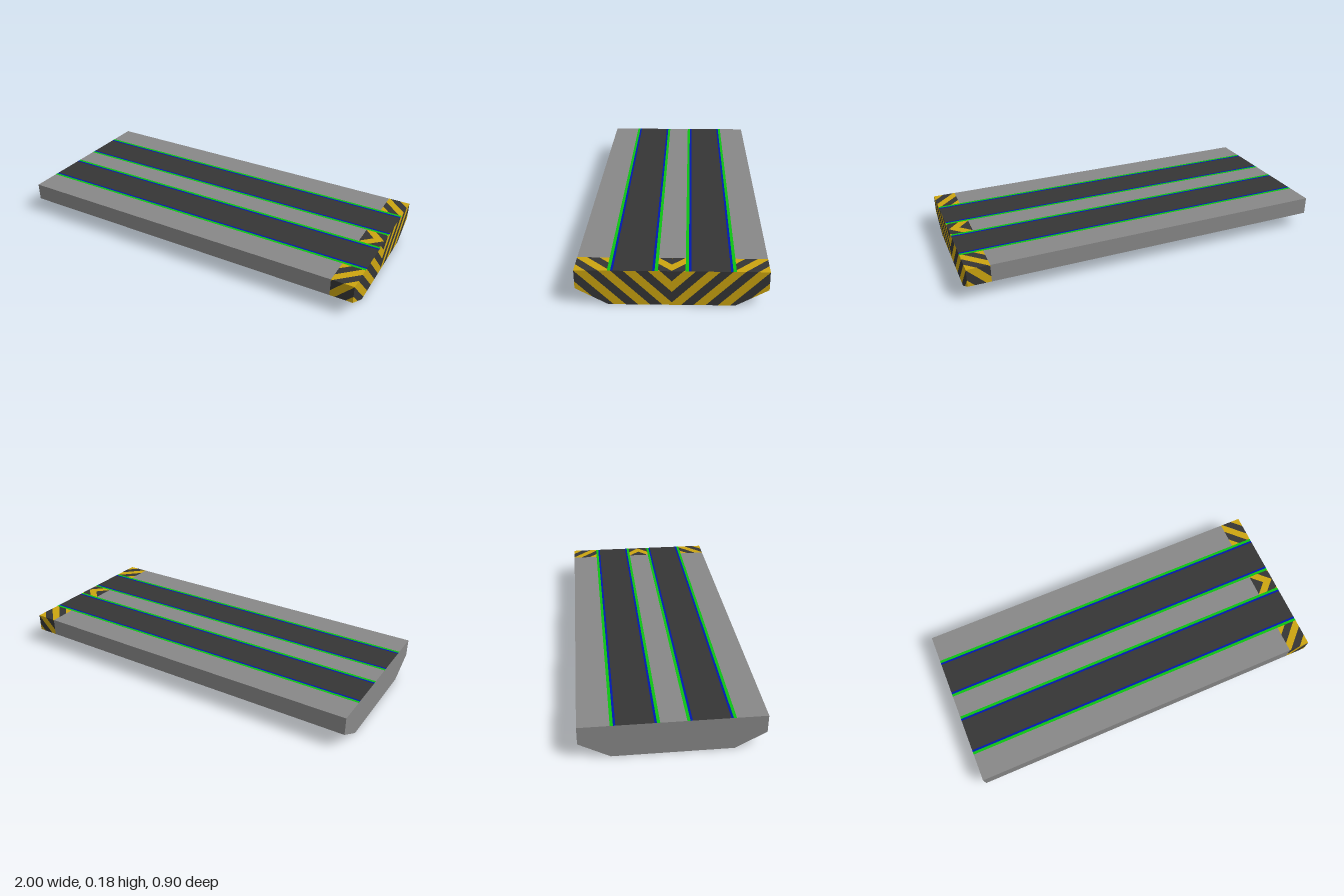
import * as THREE from 'three';

const HALF_LENGTH = 1, HALF_WIDTH = 0.448, TOP = 0.18;
const KNEE = 0.085, BASE = 0.295;   // lower edge of the side, half width of the underside
const HAZARD_X = 0.88;              // where the hazard-striped end begins
const STRIPE = 0.0567, STRIPE_START = 0.873;

const material = (name, color) =>
  Object.assign(new THREE.MeshStandardMaterial({ color }), { name });

// Keep the part of a convex polygon of {p, f} corners where sign * (f - limit) >= 0
function clip(poly, limit, sign) {
  const out = [];
  poly.forEach((a, i) => {
    const b = poly[(i + 1) % poly.length];
    const da = sign * (a.f - limit), db = sign * (b.f - limit);
    if (da >= 0) out.push(a);
    if ((da > 0 && db < 0) || (da < 0 && db > 0)) {
      out.push({ p: a.p.clone().lerp(b.p, da / (da - db)), f: limit });
    }
  });
  return out;
}

// Collects flat convex faces, always turned outwards from the middle of the block
class Skin {
  constructor() { this.positions = []; }
  add(points) {
    const inside = new THREE.Vector3(0, TOP / 2, 0);
    for (let i = 1; i < points.length - 1; i++) {
      const tri = new THREE.Triangle(points[0], points[i], points[i + 1]);
      if (tri.getArea() < 1e-9) continue;
      const outward = tri.getNormal(new THREE.Vector3()).dot(points[0].clone().sub(inside)) > 0;
      const order = outward ? [tri.a, tri.b, tri.c] : [tri.a, tri.c, tri.b];
      order.forEach((v) => this.positions.push(v.x, v.y, v.z));
    }
  }
  mesh(name, mat) {
    const geometry = new THREE.BufferGeometry();
    geometry.setAttribute('position', new THREE.Float32BufferAttribute(this.positions, 3));
    geometry.computeVertexNormals();
    const mesh = new THREE.Mesh(geometry, mat);
    mesh.name = name;
    return mesh;
  }
}

export function createModel() {
  const group = new THREE.Group();
  group.name = 'trackPlatform';

  const hull = new Skin(), yellow = new Skin(), black = new Skin();
  const track = new Skin(), outerLine = new Skin(), innerLine = new Skin();
  const V = (x, y, z) => new THREE.Vector3(x, y, z);

  // Cut a face into alternating stripes along the field f
  const addStriped = (poly) => {
    const fs = poly.map((c) => c.f);
    const first = Math.floor((Math.min(...fs) - STRIPE_START) / STRIPE);
    const last = Math.floor((Math.max(...fs) - STRIPE_START) / STRIPE);
    for (let k = first; k <= last; k++) {
      const low = STRIPE_START + k * STRIPE;
      const piece = clip(clip(poly, low, 1), low + STRIPE, -1);
      if (piece.length > 2) (k % 2 === 0 ? yellow : black).add(piece.map((c) => c.p));
    }
  };

  // A rectangle running along x between two points [z, y] of the cross-section
  const panel = (skin, x0, x1, [z0, y0], [z1, y1]) =>
    skin.add([V(x0, y0, z0), V(x1, y0, z0), V(x1, y1, z1), V(x0, y1, z1)]);
  const stripedPanel = ([z0, y0], [z1, y1], f0, f1) => addStriped([
    { p: V(HAZARD_X, y0, z0), f: HAZARD_X + f0 }, { p: V(HALF_LENGTH, y0, z0), f: HALF_LENGTH + f0 },
    { p: V(HALF_LENGTH, y1, z1), f: HALF_LENGTH + f1 }, { p: V(HAZARD_X, y1, z1), f: HAZARD_X + f1 },
  ]);

  // Bands across half of the top: [inner z, outer z, skin]
  const bands = [
    [0, 0.063, hull], [0.063, 0.078, outerLine], [0.078, 0.089, innerLine],
    [0.089, 0.269, track], [0.269, 0.28, innerLine], [0.28, 0.295, outerLine],
    [0.295, HALF_WIDTH, hull],
  ];
  const slope = Math.hypot(HALF_WIDTH - BASE, KNEE);
  const sideField = HALF_WIDTH - KNEE;

  for (const s of [1, -1]) {
    // Top bands, with the plain ones striped near the end
    for (const [z0, z1, skin] of bands) {
      const a = [s * z0, TOP], b = [s * z1, TOP];
      panel(skin, -HALF_LENGTH, skin === hull ? HAZARD_X : HALF_LENGTH, a, b);
      if (skin === hull) stripedPanel(a, b, z0 - TOP, z1 - TOP);
    }

    // Side, sloping lower side and underside
    const rim = [s * HALF_WIDTH, TOP], knee = [s * HALF_WIDTH, KNEE];
    const base = [s * BASE, 0], keel = [0, 0];
    for (const [a, b] of [[rim, knee], [knee, base], [base, keel]]) {
      panel(hull, -HALF_LENGTH, HAZARD_X, a, b);
    }
    stripedPanel(rim, knee, HALF_WIDTH - TOP, sideField);
    stripedPanel(knee, base, sideField, sideField + slope);
    stripedPanel(base, keel, BASE, 0);

    // Plain end and chevron-striped end
    const section = [keel, base, knee, rim, [0, TOP]];
    hull.add(section.map(([z, y]) => V(-HALF_LENGTH, y, z)));
    addStriped(section.map(([z, y]) => (
      { p: V(HALF_LENGTH, y, z), f: HALF_LENGTH + Math.abs(z) - y })));
  }

  const dark = material('darkGrey', 0x353535);
  group.add(
    hull.mesh('hull', material('grey', 0x888888)),
    yellow.mesh('hazardYellowStripes', material('hazardYellow', 0xcca510)),
    black.mesh('hazardDarkStripes', dark),
    track.mesh('trackBeds', dark),
    outerLine.mesh('outerTrackLines', material('green', 0x0cc212)),
    innerLine.mesh('innerTrackLines', material('blue', 0x0018b0)),
  );
  return group;
}
